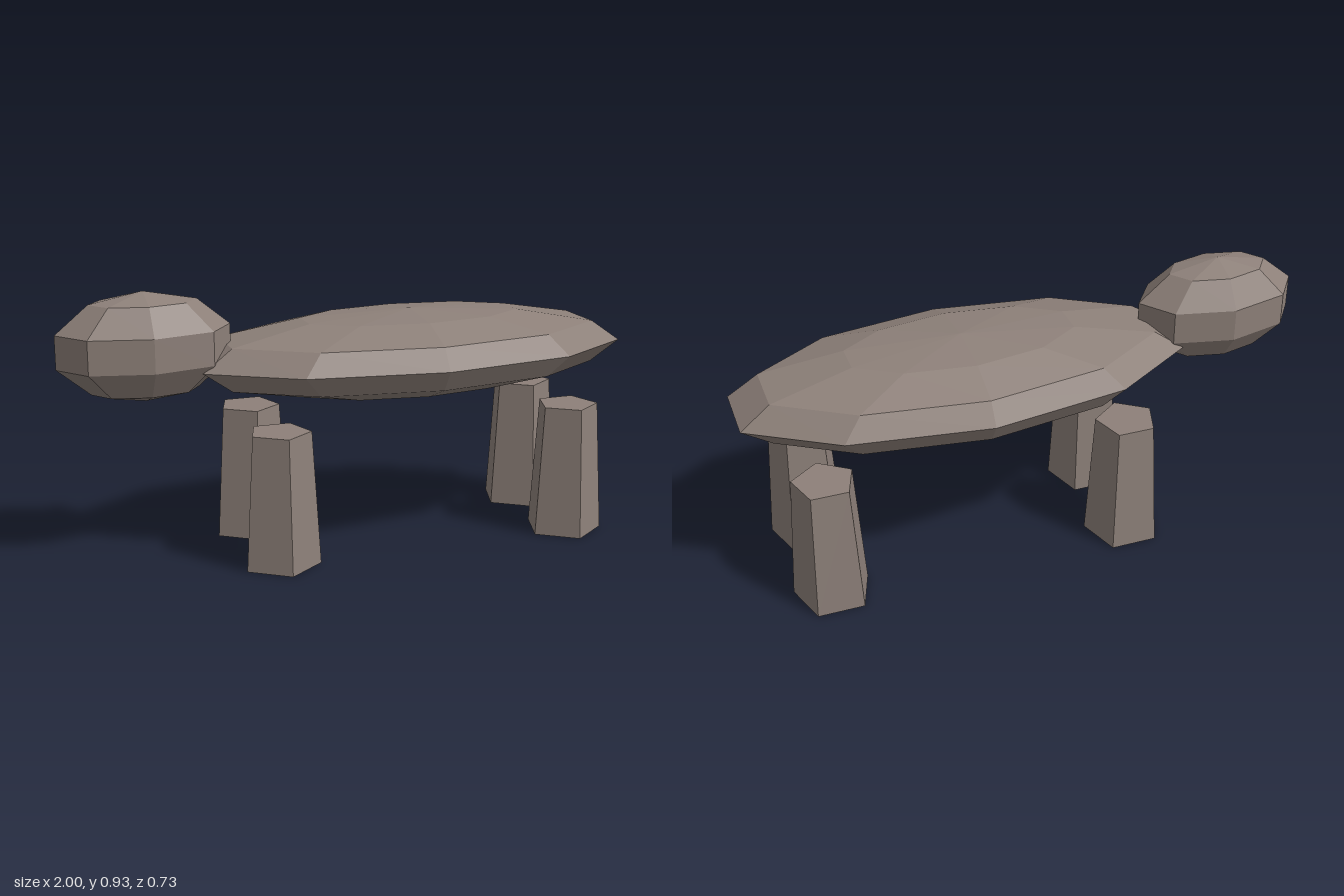
import * as THREE from 'three';

const stone = new THREE.MeshStandardMaterial({ color: 0x8d8079, flatShading: true });
stone.name = 'warm grey stone';

export function createModel() {
  const model = new THREE.Group();
  model.name = 'animal';

  const add = (name, geometry, x, y, z) => {
    const mesh = new THREE.Mesh(geometry, stone);
    mesh.name = name;
    mesh.position.set(x, y, z);
    model.add(mesh);
  };

  // Flattened ten-sided body, turned half a step so a flat side meets each end
  const body = new THREE.SphereGeometry(1, 10, 6).rotateY(Math.PI / 10).scale(0.81, 0.148, 0.365);
  add('body', body, 0.23, 0.663, 0);

  // Eight-sided head
  const head = new THREE.SphereGeometry(1, 8, 5).scale(0.307, 0.185, 0.173);
  add('head', head, -0.708, 0.745, 0);

  // Four tapered five-sided legs, all with a corner towards +z
  const leg = new THREE.CylinderGeometry(0.108, 0.137, 0.465, 5);
  for (const [end, x] of [['front', -0.305], ['rear', 0.763]]) {
    for (const [side, z] of [['Left', 0.184], ['Right', -0.184]]) {
      add(end + side + 'Leg', leg, x, 0.2325, z);
    }
  }

  return model;
}
